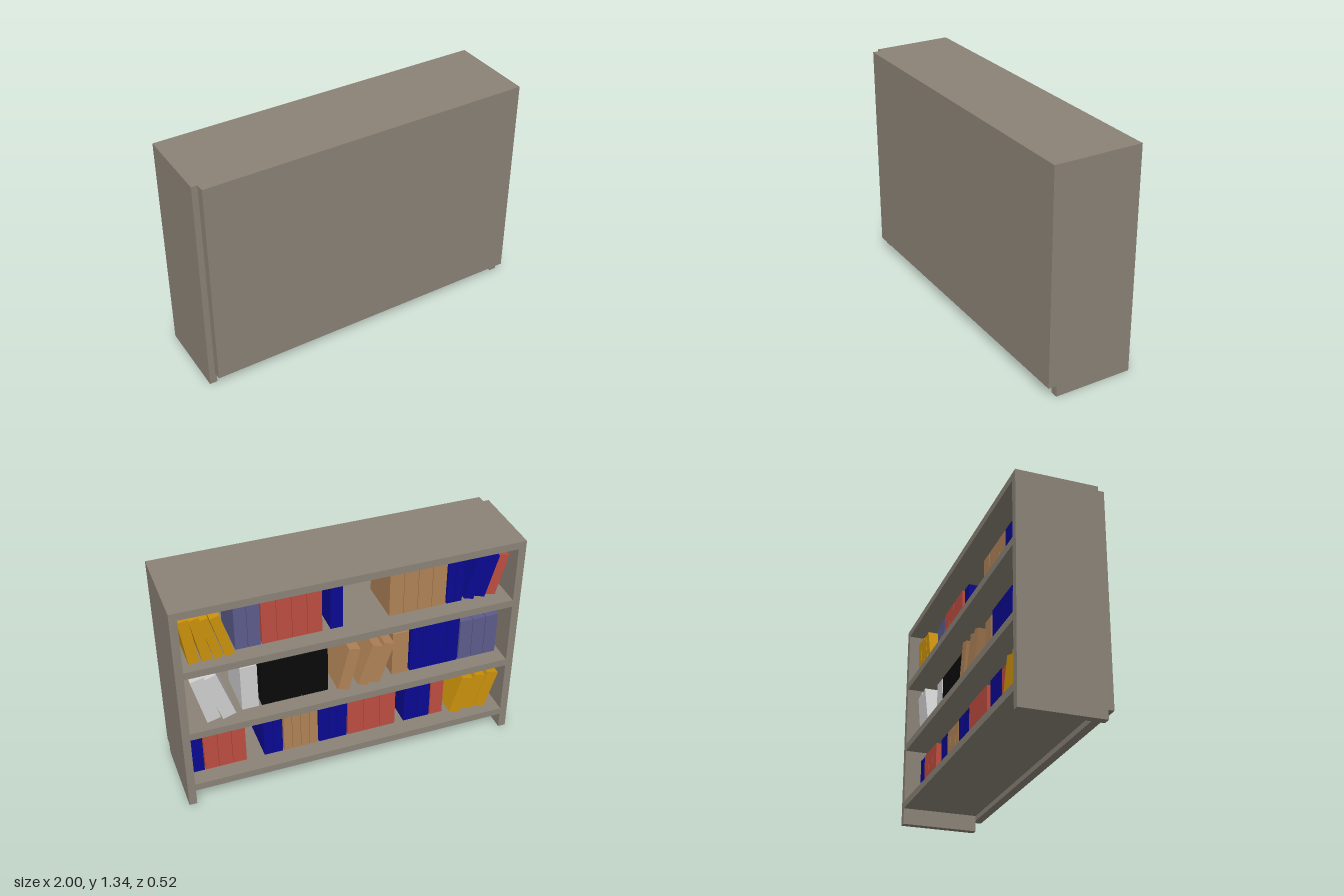
import * as THREE from 'three';

const mat = (name, color) => Object.assign(new THREE.MeshStandardMaterial({ color }), { name });

export function createModel() {
  const model = new THREE.Group();
  model.name = 'bookcase';
  const wood = mat('greyWood', 0x8b8377);
  const yellow = mat('yellowCover', 0xcb920c);
  const slate = mat('slateCover', 0x5c5c8c);
  const red = mat('redCover', 0xbe4e40);
  const blue = mat('blueCover', 0x0a0a92);
  const tan = mat('tanCover', 0xb08357);
  const white = mat('whiteCover', 0xd0d0d0);
  const black = mat('blackCover', 0x0a0a0a);

  // Box given by its minimum and maximum corners
  function panel(name, x0, x1, y0, y1, z0, z1) {
    const mesh = new THREE.Mesh(new THREE.BoxGeometry(x1 - x0, y1 - y0, z1 - z0), wood);
    mesh.position.set((x0 + x1) / 2, (y0 + y1) / 2, (z0 + z1) / 2);
    mesh.name = name;
    model.add(mesh);
  }

  // Carcass: the shelves open towards -z
  const back = -0.26, inner = 0.21, side = 0.955;
  panel('leftSide', side, 1, 0, 1.335, back, inner);
  panel('rightSide', -1, -side, 0, 1.335, back, inner);
  panel('top', -side, side, 1.29, 1.335, back, inner);
  panel('facePanel', -0.965, 1, 0.068, 1.335, inner, 0.26);
  const shelves = { upper: 0.95, middle: 0.525, lower: 0.145 };
  for (const [name, y] of Object.entries(shelves)) {
    panel(name + 'Shelf', -side, side, y - 0.045, y, back, inner);
  }

  // One book resting on its lower corner; positive tilt leans towards +x
  const depth = 0.28;
  function book(row, cover, x, w, h, tilt, z) {
    const geo = new THREE.BoxGeometry(w, h, depth);
    geo.translate(tilt < 0 ? w / 2 : -w / 2, h / 2, depth / 2);
    const mesh = new THREE.Mesh(geo, cover);
    mesh.position.set(x, shelves[row], z);
    mesh.rotation.z = -THREE.MathUtils.degToRad(tilt);
    mesh.name = 'book';
    model.add(mesh);
  }

  // Upright set of n equal books from x0 down to x1
  function upright(row, cover, x0, x1, n, h) {
    const w = (x0 - x1) / n;
    for (let i = 0; i < n; i++) book(row, cover, x0 - i * w, w - 0.003, h, 0, -0.16);
  }

  // Leaning books: [corner x, width, height, tilt in degrees]
  function leaning(row, cover, list, z = -0.2) {
    for (const [x, w, h, tilt] of list) book(row, cover, x, w, h, tilt, z);
  }

  // Upper row
  leaning('upper', yellow, [[0.91, 0.06, 0.28, 8], [0.835, 0.055, 0.28, 11], [0.77, 0.05, 0.27, 14], [0.71, 0.055, 0.27, 15]]);
  upright('upper', slate, 0.645, 0.5, 2, 0.275);
  upright('upper', red, 0.495, 0.15, 4, 0.29);
  upright('upper', blue, 0.105, 0.03, 1, 0.27);
  upright('upper', tan, -0.24, -0.583, 4, 0.28);
  upright('upper', blue, -0.59, -0.685, 2, 0.28);
  leaning('upper', blue, [[-0.75, 0.06, 0.27, -16], [-0.82, 0.06, 0.27, -16]], -0.17);
  leaning('upper', red, [[-0.885, 0.06, 0.26, -15]], -0.17);

  // Middle row
  leaning('middle', white, [[0.84, 0.08, 0.31, 14], [0.75, 0.08, 0.31, 18]]);
  upright('middle', white, 0.63, 0.53, 1, 0.29);
  upright('middle', black, 0.515, 0.12, 5, 0.29);
  leaning('middle', tan, [[0.01, 0.07, 0.28, -14], [-0.105, 0.065, 0.27, -19], [-0.175, 0.065, 0.27, -19]]);
  upright('middle', tan, -0.268, -0.37, 1, 0.29);
  upright('middle', blue, -0.38, -0.685, 4, 0.31);
  upright('middle', slate, -0.69, -0.93, 3, 0.27);

  // Lower row
  upright('lower', blue, 0.95, 0.87, 1, 0.275);
  upright('lower', red, 0.867, 0.62, 3, 0.28);
  upright('lower', blue, 0.515, 0.4, 2, 0.26);
  upright('lower', tan, 0.395, 0.185, 4, 0.26);
  upright('lower', blue, 0.18, 0.005, 3, 0.265);
  upright('lower', red, 0, -0.3, 3, 0.28);
  upright('lower', blue, -0.355, -0.523, 2, 0.28);
  upright('lower', red, -0.526, -0.61, 1, 0.27);
  leaning('lower', yellow, [[-0.71, 0.075, 0.25, -17], [-0.79, 0.075, 0.25, -17], [-0.873, 0.075, 0.25, -17]]);

  return model;
}
